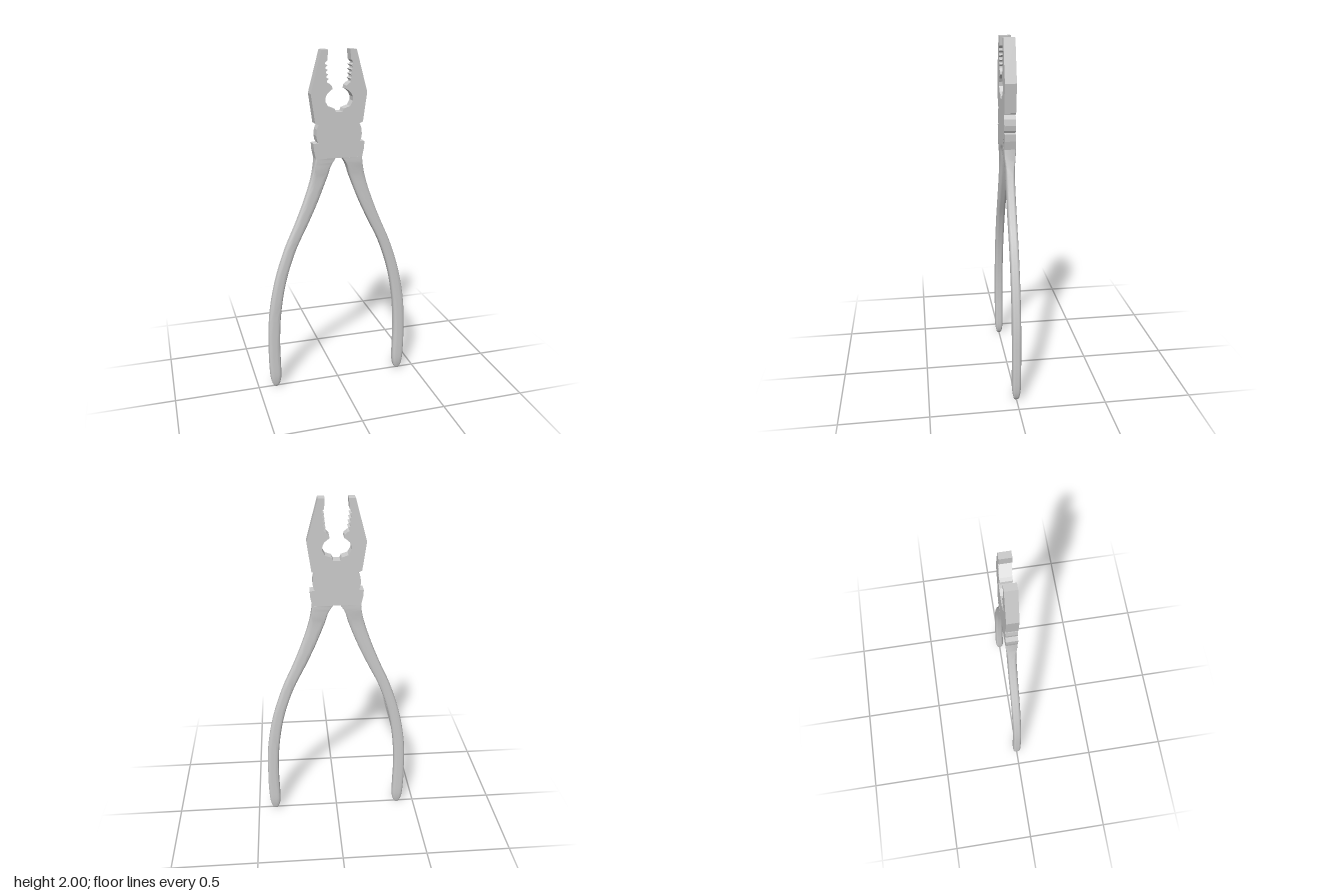
import * as THREE from 'three';
import { toCreasedNormals } from 'three/addons/utils/BufferGeometryUtils.js';

const material = new THREE.MeshStandardMaterial({ color: 0xcccccc });
const HALF = 0.032; // half thickness of the head

function add(group, name, geometry) {
  const mesh = new THREE.Mesh(geometry, material);
  mesh.name = name;
  group.add(mesh);
}

// Flat plate from an outline, centred on z = 0
function plate(points, half = HALF) {
  const shape = new THREE.Shape(points.map(([x, y]) => new THREE.Vector2(x, y)));
  const g = new THREE.ExtrudeGeometry(shape, { depth: 2 * half, bevelEnabled: false });
  return g.translate(0, 0, -half);
}

const mirror = (points, side) => points.map(([x, y]) => [x * side, y]);

// Jaw outline: outer edge, tip, gripping teeth, then the round pipe grip
function jawOutline() {
  const pts = [[0, 1.667], [0, 1.6], [0.118, 1.6], [0.137, 1.608], [0.16, 1.77],
    [0.098, 2], [0.062, 2], [0.066, 1.945]];
  const teeth = 5;
  for (let i = 0; i < teeth; i++) {
    const y = 1.932 - i * 0.024, x = 0.066 - i * 0.0025;
    pts.push([x + 0.013, y], [x + 0.012, y - 0.008], [x, y - 0.014]);
  }
  pts.push([0.041, 1.808], [0.038, 1.792], [0.052, 1.782], [0.068, 1.768], [0.077, 1.748],
    [0.078, 1.725], [0.062, 1.697], [0.042, 1.69], [0.026, 1.685], [0.019, 1.667]);
  return pts;
}

// Handle: rounded-rectangle sections following outer and inner edge curves
function handle(side) {
  // each row: outer x, y, inner x
  const rows = [[0.135, 1.41, 0.02], [0.14, 1.37, 0.045], [0.156, 1.3, 0.066],
    [0.204, 1.156, 0.122], [0.257, 1.024, 0.183], [0.32, 0.88, 0.253], [0.384, 0.68, 0.318],
    [0.422, 0.47, 0.353], [0.431, 0.28, 0.363], [0.432, 0.18, 0.362], [0.425, 0.055, 0.363],
    [0.413, 0.014, 0.374], [0.402, 0, 0.386]];
  const curve = new THREE.CatmullRomCurve3(rows.map((r) => new THREE.Vector3(...r)));
  const rings = 48, n = 24, pos = [], index = [];
  const lerp = THREE.MathUtils.lerp, step = THREE.MathUtils.smoothstep;
  for (let i = 0; i <= rings; i++) {
    const p = curve.getPoint(i / rings);
    const boxy = step(p.y, 1.22, 1.4);
    const power = lerp(0.55, 0.08, boxy);
    const tip = lerp(0.4, 1, Math.sqrt(THREE.MathUtils.clamp(p.y / 0.07, 0, 1)));
    const depth = lerp(0.025, HALF, step(p.y, 1.28, 1.4)) * tip;
    for (let j = 0; j < n; j++) {
      const a = ((j + 0.5) / n) * Math.PI * 2, c = Math.cos(a), s = Math.sin(a);
      const u = Math.sign(c) * Math.abs(c) ** power, v = Math.sign(s) * Math.abs(s) ** power;
      pos.push(side * ((p.x + p.z) / 2 + ((p.x - p.z) / 2) * u), p.y, depth * v);
    }
  }
  const tri = (a, b, c) => (side > 0 ? index.push(a, b, c) : index.push(a, c, b));
  for (let i = 0; i < rings; i++) {
    for (let j = 0; j < n; j++) {
      const k = (j + 1) % n, a = i * n + j, b = i * n + k;
      tri(a, b, a + n);
      tri(b, b + n, a + n);
    }
  }
  // end caps
  const last = rings * n;
  for (let j = 1; j < n - 1; j++) {
    tri(0, j + 1, j);
    tri(last, last + j, last + j + 1);
  }
  const g = new THREE.BufferGeometry();
  g.setAttribute('position', new THREE.Float32BufferAttribute(pos, 3));
  g.setIndex(index);
  return toCreasedNormals(g, 0.6);
}

export function createModel() {
  const group = new THREE.Group();
  group.name = 'pliers';

  // Pivot joint: waisted plate between the jaws and the handles
  const half = [[0.06, 1.41], [0.112, 1.468], [0.12, 1.5], [0.127, 1.512], [0.132, 1.54],
    [0.128, 1.575], [0.118, 1.6]];
  add(group, 'pivotJoint', plate([...half, ...mirror(half, -1).reverse()]));

  const jaw = jawOutline();
  const shoulder = [[0.06, 1.41], [0.135, 1.41], [0.145, 1.457], [0.148, 1.497],
    [0.12, 1.5], [0.112, 1.468]];
  const web = [[0, 1.41], [0.06, 1.41], [0.06, 1.43], [0, 1.43]];
  for (const [side, label] of [[1, 'left'], [-1, 'right']]) {
    add(group, label + 'Jaw', plate(mirror(jaw, side)));
    // the left shoulder sits slightly below the joint face, leaving a seam
    add(group, label + 'Shoulder', plate(mirror(shoulder, side), side > 0 ? HALF - 0.001 : HALF));
    add(group, label + 'Web', plate(mirror(web, side), HALF - 0.002));
    add(group, label + 'Handle', handle(side));
  }
  return group;
}
